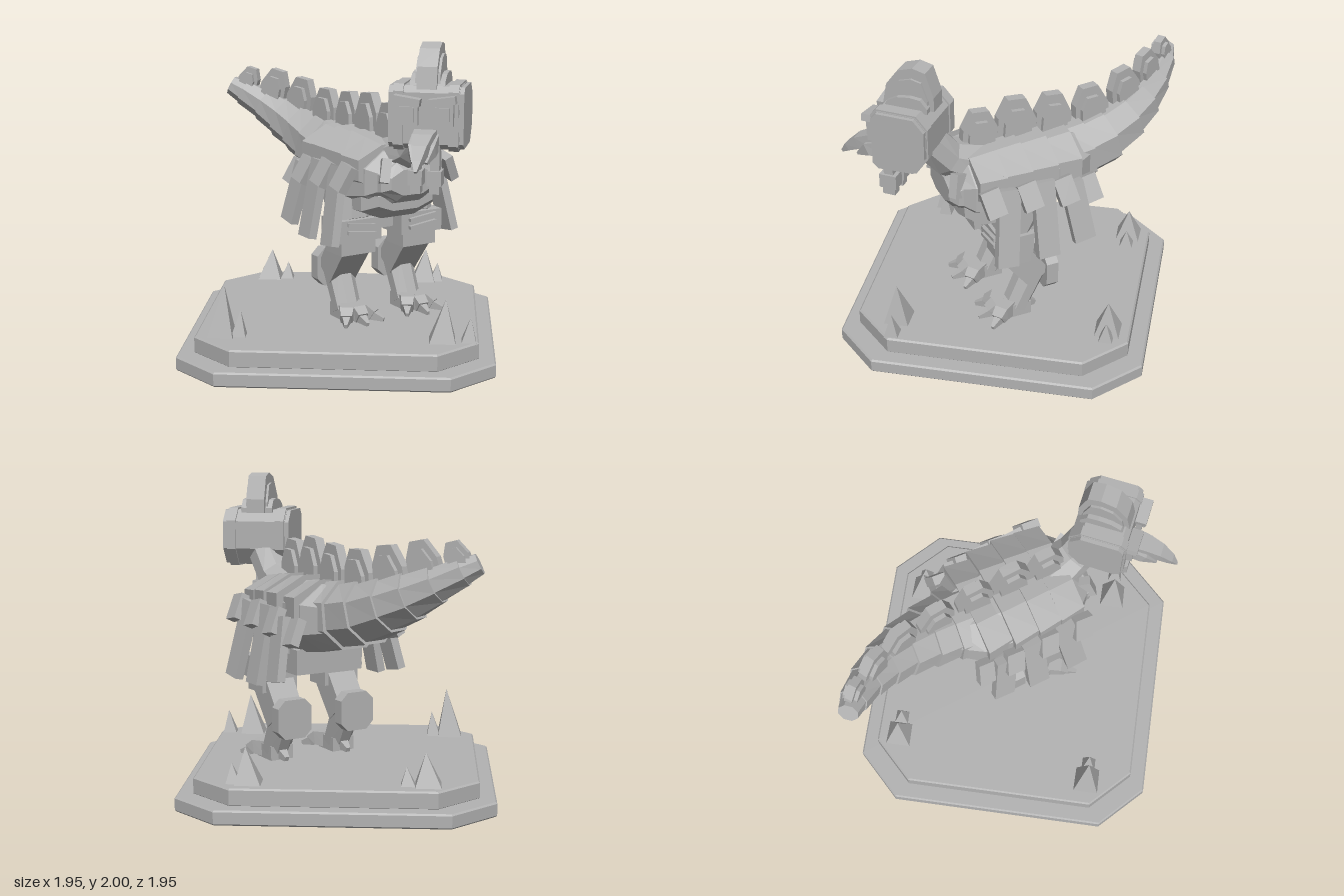
import * as THREE from 'three';

const clay = new THREE.MeshStandardMaterial({ color: 0xb2b2b2 });
clay.name = 'clay grey';
clay.flatShading = true;
const V = (x, y, z) => new THREE.Vector3(x, y, z);

function add(parent, name, geo, pos = [0, 0, 0], rot = [0, 0, 0]) {
  const m = new THREE.Mesh(geo, clay);
  m.name = name;
  m.position.set(...pos);
  m.rotation.set(...rot);
  parent.add(m);
  return m;
}
const box = (parent, name, size, pos, rot) => add(parent, name, new THREE.BoxGeometry(...size), pos, rot);
function group(parent, name, pos = [0, 0, 0], yaw = 0) {
  const g = new THREE.Group();
  g.name = name;
  g.position.set(...pos);
  g.rotation.y = yaw;
  parent.add(g);
  return g;
}

// Skin equal rings of points, counter-clockwise seen from the direction of travel
function loft(rings) {
  const p = [], n = rings[0].length;
  const tri = (...vs) => vs.forEach(v => p.push(v.x, v.y, v.z));
  for (let k = 0; k < rings.length - 1; k++) {
    const a = rings[k], b = rings[k + 1];
    for (let i = 0; i < n; i++) {
      const j = (i + 1) % n;
      tri(a[i], a[j], b[j]);
      tri(a[i], b[j], b[i]);
    }
  }
  const s = rings[0], e = rings[rings.length - 1];
  for (let i = 1; i < n - 1; i++) {
    tri(s[0], s[i + 1], s[i]);
    tri(e[0], e[i], e[i + 1]);
  }
  const g = new THREE.BufferGeometry();
  g.setAttribute('position', new THREE.Float32BufferAttribute(p, 3));
  g.computeVertexNormals();
  return g;
}

// Octagonal section across the body: [z, half width, bottom, top]
function bodyRing([z, w, y0, y1], flat = 0.45) {
  const a = w * flat, h = y1 - y0, c = h * 0.28;
  return [[a, y0], [w, y0 + c], [w, y1 - c], [a, y1], [-a, y1], [-w, y1 - c], [-w, y0 + c], [-a, y0]]
    .map(([x, y]) => V(x, y, z));
}

// Octagonal or square ring around a path point
function pathRing(c, d, rw, rh, n = 8) {
  const s = V(0, 1, 0).cross(d).normalize(), u = d.clone().cross(s).normalize();
  return Array.from({ length: n }, (_, i) => {
    const t = (i + 0.5) / n * Math.PI * 2, k = 1 / Math.cos(Math.PI / n);
    return c.clone().addScaledVector(s, Math.cos(t) * rw * k).addScaledVector(u, Math.sin(t) * rh * k);
  });
}
// Limb through points [x, y, z, half width, half height]
function limb(pts, n = 4) {
  const c = pts.map(q => V(q[0], q[1], q[2]));
  return loft(pts.map((q, i) => {
    const d = c[Math.min(i + 1, c.length - 1)].clone().sub(c[Math.max(i - 1, 0)]).normalize();
    return pathRing(c[i], d, q[3], q[4], n);
  }));
}

// Side silhouette of [forward, up] points, given thickness across
function profile(pts, thick) {
  const shape = new THREE.Shape(pts.map(([a, b]) => new THREE.Vector2(a, b)));
  const g = new THREE.ExtrudeGeometry(shape, { depth: thick, bevelEnabled: false });
  return g.translate(0, 0, -thick / 2).rotateY(-Math.PI / 2);
}

function spinePlate(parent, pos, yaw, size, pitch = 0) {
  const g = group(parent, 'spinePlate', pos, yaw);
  const pts = [[-0.125, -0.08], [-0.125, 0.06], [-0.06, 0.2], [0.05, 0.21], [0.11, 0.1], [0.125, -0.08]];
  [[1, 0.06], [0.7, 0.115]].forEach(([k, t]) => add(g, 'plateLayer',
    profile(pts.map(([a, b]) => [a * k * size, b * k * size]), t * (0.6 + 0.4 * size)), [0, 0, 0], [pitch, 0, 0]));
}

function buildBase(root) {
  const slab = (name, h, c, y, height) => {
    const b = 0.01, r = h - b, q = c - b * 0.4;
    const s = new THREE.Shape([[r, q], [q, r], [-q, r], [-r, q], [-r, -q], [-q, -r], [q, -r], [r, -q]]
      .map(([x, z]) => new THREE.Vector2(x, z)));
    const g = new THREE.ExtrudeGeometry(s, { depth: height - 2 * b, bevelSize: b, bevelThickness: b, bevelSegments: 1 });
    add(root, name, g.rotateX(-Math.PI / 2), [0, y + b, 0]);
  };
  slab('baseLower', 0.975, 0.7, 0, 0.092);
  slab('baseUpper', 0.873, 0.62, 0.085, 0.112);
  // Rock clusters: [x, z, height, small rock x, small rock height]
  [[-0.71, 0.58, 0.33, -0.6, 0.17], [0.52, -0.73, 0.23, 0.61, 0.13],
    [0.65, 0.6, 0.27, 0.81, 0.16], [-0.56, -0.73, 0.21, -0.44, 0.12]].forEach(([x, z, h, x2, h2]) => {
    const rock = (px, hh, r) => {
      const g = new THREE.ConeGeometry(r, hh, 4).rotateY(Math.PI / 4).translate(0, hh / 2, 0);
      add(root, 'rockSpike', g, [px, 0.19, z], [0, 0, -0.07]);
    };
    rock(x, h, 0.115);
    rock(x2, h2, 0.065);
  });
}

function buildLeg(body, s) {
  const leg = group(body, s > 0 ? 'leftLeg' : 'rightLeg', [s * 0.23, 0, 0]);
  add(leg, 'thigh', limb([[0, 1.08, 0.1, 0.13, 0.17], [0, 0.84, 0.19, 0.13, 0.11]], 8));
  box(leg, 'thighGuard', [0.31, 0.14, 0.22], [0, 0.8, 0.2]);
  box(leg, 'kneeCuff', [0.25, 0.1, 0.19], [0, 0.69, 0.19]);
  [0.835, 0.785].forEach(y => box(leg, 'guardSlat', [0.2, 0.022, 0.03], [0, y, 0.32], [0, 0, s * 0.12]));
  add(leg, 'shin', limb([[0, 0.7, 0.19, 0.1, 0.09], [0, 0.47, 0.02, 0.095, 0.085]]));
  add(leg, 'ankle', limb([[0, 0.5, 0.03, 0.09, 0.085], [0, 0.25, 0.15, 0.085, 0.075]], 8));
  // Heel guard with clipped corners
  const heel = new THREE.Shape([[-0.12, 0.42], [-0.07, 0.37], [0.07, 0.37], [0.12, 0.42], [0.12, 0.57], [0.07, 0.62], [-0.07, 0.62], [-0.12, 0.57]]
    .map(q => new THREE.Vector2(...q)));
  add(leg, 'heelGuard', new THREE.ExtrudeGeometry(heel, { depth: 0.08, bevelEnabled: false }), [0, 0, -0.1]);
  box(leg, 'foot', [0.16, 0.09, 0.18], [0, 0.245, 0.16]);
  [-0.6, 0, 0.6].forEach(a => {
    const toe = group(leg, 'toe', [Math.sin(a) * 0.05, 0, 0.2], a);
    add(toe, 'toeJoint', limb([[0, 0.255, 0, 0.045, 0.05], [0, 0.26, 0.09, 0.043, 0.045], [0, 0.235, 0.13, 0.036, 0.035]]));
    add(toe, 'claw', limb([[0, 0.235, 0.12, 0.028, 0.03], [0, 0.21, 0.2, 0.01, 0.012]]));
  });
  add(leg, 'rearToe', limb([[0, 0.25, 0.1, 0.035, 0.04], [0, 0.215, 0.01, 0.015, 0.015]]));
}

function buildBody(root, yaw) {
  const body = group(root, 'body', [0.143, 0, -0.1], yaw);
  add(body, 'torso', loft([[-0.4, 0.2, 0.98, 1.33], [-0.27, 0.29, 0.94, 1.36], [0, 0.32, 0.9, 1.37], [0.22, 0.32, 0.88, 1.36],
    [0.42, 0.27, 0.94, 1.32], [0.5, 0.2, 1.02, 1.25]].map(r => bodyRing(r))));
  // Overlapping back bands
  [[-0.26, -0.07, 0.325, 1.385], [-0.09, 0.1, 0.35, 1.4], [0.08, 0.26, 0.35, 1.395], [0.24, 0.41, 0.335, 1.375]].forEach(([a, b, w, t]) =>
    add(body, 'backBand', loft([bodyRing([a, w, 1.04, t]), bodyRing([b, w - 0.025, 1.06, t - 0.025])])));
  add(body, 'breastPlate', loft([bodyRing([0.38, 0.24, 0.99, 1.27]), bodyRing([0.51, 0.21, 1.01, 1.25]), bodyRing([0.55, 0.16, 1.05, 1.21])]));
  add(body, 'bellyPlate', loft([bodyRing([0.0, 0.29, 0.86, 1.1]), bodyRing([0.38, 0.27, 0.88, 1.1]), bodyRing([0.47, 0.2, 0.94, 1.08])]));
  box(body, 'hipBlock', [0.42, 0.16, 0.3], [0, 0.85, 0.06]);
  [-1, 1].forEach(s => {
    buildLeg(body, s);
    // Long side slabs, hanging and flaring outward: [z, middle y, length, tilt]
    [[0.27, 0.97, 0.5, 0.12], [0.02, 0.97, 0.5, 0], [-0.2, 0.97, 0.4, -0.16]].forEach(([z, y, h, t]) =>
      box(body, 'sideSlab', [0.055, h, 0.14], [s * 0.4, y, z], [-t, 0, s * 0.2]));
    [[0.36, 1.16], [0.12, 1.15], [-0.12, 1.13], [-0.3, 1.08]].forEach(([z, y], i) =>
      box(body, 'shoulderSlab', [0.06, 0.17, 0.12], [s * (i > 2 ? 0.35 : 0.385), y, z], [0.2, 0, s * 0.45]));
    box(body, 'collarPlate', [0.06, 0.15, 0.11], [s * 0.17, 1.2, 0.49], [-0.35, s * 0.4, s * 0.3]);
  });
  [0.29, 0.05, -0.2].forEach((z, i) => spinePlate(body, [0, [1.38, 1.4, 1.39][i], z], 0, i === 1 ? 1.07 : 1));
}

function buildTail(root) {
  const tail = group(root, 'tail');
  // Path points: x, y, z, half width, half height
  const pts = [[0.01, 1.17, -0.29, 0.235, 0.2], [-0.09, 1.18, -0.43, 0.2, 0.19], [-0.2, 1.215, -0.56, 0.175, 0.175], [-0.33, 1.28, -0.68, 0.15, 0.15],
    [-0.46, 1.345, -0.765, 0.125, 0.13], [-0.6, 1.42, -0.83, 0.1, 0.1], [-0.75, 1.5, -0.87, 0.078, 0.078], [-0.84, 1.545, -0.88, 0.055, 0.055]];
  const c = pts.map(q => V(q[0], q[1], q[2]));
  const dir = i => c[Math.min(i + 1, 7)].clone().sub(c[Math.max(i - 1, 0)]).normalize();
  for (let i = 0; i < 7; i++) {
    const a = pts[i], b = pts[i + 1];
    add(tail, 'tailSegment', loft([pathRing(c[i], dir(i), a[3], a[4]), pathRing(c[i + 1], dir(i + 1), b[3] * 1.1, b[4] * 1.1)]));
  }
  [[-0.14, 1.38, -0.48, 0.7, 1, 0.1], [-0.33, 1.43, -0.67, 0.87, 0.98, 0.2], [-0.53, 1.5, -0.79, 1.08, 0.85, 0.3], [-0.72, 1.55, -0.865, 1.25, 0.62, 0.35]]
    .forEach(([x, y, z, yaw, k, pitch]) => spinePlate(tail, [x, y, z], yaw, k, pitch));
}

function buildHead(root) {
  add(root, 'neck', limb([[0.34, 1.25, 0.18, 0.15, 0.13], [0.45, 1.33, 0.31, 0.12, 0.11], [0.54, 1.5, 0.42, 0.11, 0.11]], 8));
  const head = group(root, 'head', [0.56, 0, 0.475], -0.17);
  const side = [[0.18, 1.41], [0.18, 1.73], [0.145, 1.77], [-0.11, 1.77], [-0.18, 1.69], [-0.18, 1.5], [-0.1, 1.385], [0.14, 1.375]];
  const inset = k => side.map(([z, y]) => [z * k, 1.57 + (y - 1.57) * k]);
  add(head, 'skull', profile(inset(0.95), 0.4));
  [-1, 1].forEach(s => {
    add(head, 'cheekPlate', profile(side, 0.06), [s * 0.165, 0, 0]);
    add(head, 'cheekRim', profile(inset(0.93), 0.03), [s * 0.21, 0, 0]);
    // Eye with rim, pupil and slanted brow
    box(head, 'eyeSocket', [0.13, 0.15, 0.04], [s * 0.105, 1.61, 0.2]);
    box(head, 'eye', [0.085, 0.09, 0.03], [s * 0.105, 1.6, 0.22]);
    box(head, 'brow', [0.16, 0.045, 0.07], [s * 0.105, 1.68, 0.21], [0, 0, s * 0.15]);
    // Wattle of stacked blocks
    box(head, 'wattleStem', [0.055, 0.25, 0.06], [s * 0.057, 1.31, 0.14]);
    box(head, 'wattleBlock', [0.085, 0.09, 0.11], [s * 0.057, 1.215, 0.14]);
    box(head, 'wattleTip', [0.06, 0.07, 0.08], [s * 0.057, 1.155, 0.14]);
    // Side feather of the beak
    add(head, 'beakSide', limb([[s * 0.05, 1.43, 0.16, 0.03, 0.05], [s * 0.055, 1.4, 0.28, 0.025, 0.04], [s * 0.04, 1.34, 0.36, 0.008, 0.008]]));
  });
  add(head, 'beak', limb([[0, 1.46, 0.14, 0.07, 0.05], [0, 1.45, 0.26, 0.06, 0.045], [0, 1.41, 0.36, 0.045, 0.04],
    [0, 1.355, 0.44, 0.027, 0.025], [0, 1.31, 0.485, 0.008, 0.008]]));
  // Tall comb with a broader foot
  const comb = [[0.16, 1.74], [0.135, 1.87], [0.06, 1.97], [-0.035, 2], [-0.115, 1.98], [-0.165, 1.83], [-0.165, 1.74]];
  add(head, 'combMiddle', profile(comb, 0.12));
  add(head, 'combFoot', profile(comb.map(([z, y]) => [z * 0.85, 1.74 + (y - 1.74) * 0.35]), 0.21));
  add(head, 'combRib', profile(comb.map(([z, y]) => [z * 0.8, 1.74 + (y - 1.74) * 0.75]), 0.15));
}

export function createModel() {
  const root = new THREE.Group();
  root.name = 'creatureOnBase';
  buildBase(root);
  buildBody(root, 35 * Math.PI / 180);
  buildTail(root);
  buildHead(root);
  return root;
}
